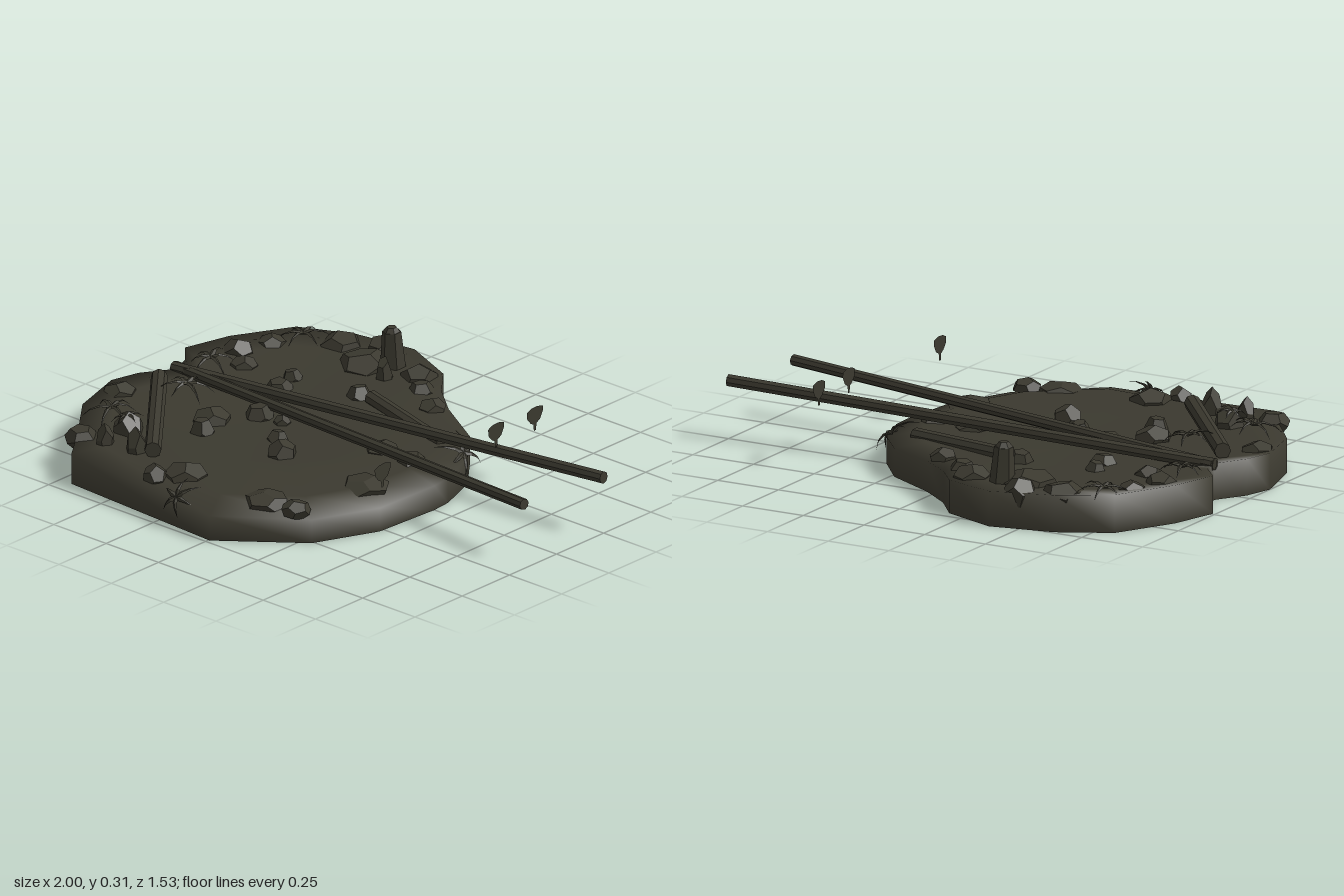
import * as THREE from 'three';

export function createModel() {
  const model = new THREE.Group();
  const earth = new THREE.MeshStandardMaterial({ color: 0x3b392f, side: THREE.DoubleSide });
  earth.name = 'dark earth';
  const stone = new THREE.MeshStandardMaterial({ color: 0x3b392f, flatShading: true, side: THREE.DoubleSide });
  stone.name = 'dark stone';

  let seed = 7;
  const rand = () => (seed = (seed * 16807) % 2147483647) / 2147483647;
  const add = (name, geometry, material, parent = model) => {
    const mesh = new THREE.Mesh(geometry, material);
    mesh.name = name;
    parent.add(mesh);
    return mesh;
  };

  // Ground: hollow mound, outline (x, z) drawn in rings towards the middle
  const outline = [
    [-0.39, -0.79], [-0.18, -0.71], [-0.09, -0.6], [0.03, -0.505], [0.235, -0.39], [0.35, -0.25],
    [0.41, -0.08], [0.417, 0], [0.4, 0.27], [0.29, 0.51], [0.005, 0.735], [-0.695, 0.69],
    [-0.8, 0.54], [-0.94, 0.36], [-1, 0.14], [-0.97, 0.03], [-0.9, -0.08], [-0.92, -0.16],
    [-0.99, -0.24], [-0.94, -0.42], [-0.82, -0.64], [-0.63, -0.74],
  ];
  const n = outline.length, cx = -0.35;
  const rimHeight = (x, z) => 0.115 - 0.03 * (x + 0.3) - 0.015 * z;
  const rings = [[1, 0], [1, 1], [0.84, 1.06], [0.45, 1.02], [0, 1]];
  const verts = [], faces = [];
  rings.forEach(([s, h], j) => outline.forEach(([x, z], i) => {
    verts.push(cx + (x - cx) * s, h * (s === 1 ? rimHeight(x, z) : 0.118), z * s);
    if (j === rings.length - 1) return;
    const a = j * n + i, b = j * n + (i + 1) % n;
    faces.push(a, a + n, b + n, a, b + n, b);
  }));
  const ground = new THREE.BufferGeometry();
  ground.setAttribute('position', new THREE.Float32BufferAttribute(verts, 3));
  ground.setIndex(faces);
  ground.computeVertexNormals();
  add('ground', ground, earth);

  // Rocks: x, z, radius, top height
  const rocks = [
    [-0.81, -0.5, 0.05, 0.16], [-0.62, -0.66, 0.075, 0.17], [-0.48, -0.72, 0.058, 0.18],
    [-0.44, -0.59, 0.1, 0.17], [-0.31, -0.54, 0.03, 0.21], [-0.225, -0.63, 0.065, 0.17],
    [-0.14, -0.55, 0.045, 0.16], [-0.01, -0.46, 0.05, 0.16], [-0.855, -0.375, 0.055, 0.17],
    [-0.755, -0.29, 0.048, 0.16], [-0.555, -0.325, 0.035, 0.16], [-0.53, -0.23, 0.047, 0.16],
    [-0.27, -0.365, 0.043, 0.17], [0.1, -0.07, 0.06, 0.15], [0.26, -0.055, 0.052, 0.16],
    [-0.52, 0.14, 0.067, 0.17], [-0.475, 0.24, 0.042, 0.18], [-0.42, 0, 0.05, 0.17],
    [-0.32, -0.01, 0.03, 0.15], [-0.235, 0.11, 0.036, 0.16], [-0.13, 0.2, 0.052, 0.18],
    [0.27, 0.2, 0.085, 0.15], [-0.925, 0.18, 0.06, 0.16], [-0.67, 0.415, 0.055, 0.2],
    [-0.77, 0.555, 0.055, 0.16], [-0.66, 0.55, 0.032, 0.2], [-0.53, 0.53, 0.037, 0.22],
    [-0.335, 0.645, 0.042, 0.17], [-0.26, 0.565, 0.075, 0.17], [0.095, 0.535, 0.075, 0.15],
    [0.225, 0.52, 0.05, 0.15],
  ];
  for (const [x, z, r, top] of rocks) {
    const g = new THREE.DodecahedronGeometry(1);
    g.rotateX(rand() * 3).rotateY(rand() * 6);
    g.scale(r * 1.1, top - 0.115, r * 1.1);
    add('rock', g, stone).position.set(x, 0.115, z);
  }
  // Standing stone
  const pillar = add('standingStone', new THREE.CylinderGeometry(0.035, 0.05, 0.17, 6), stone);
  pillar.position.set(-0.36, 0.17, -0.64);
  pillar.rotation.z = 0.05;
  const cap = add('standingStoneCap', new THREE.CylinderGeometry(0.018, 0.035, 0.022, 6), stone);
  cap.position.set(-0.364, 0.262, -0.64);

  // Logs: start, end, radius
  const up = new THREE.Vector3(0, 1, 0);
  const logs = [
    ['longPole', [-0.91, 0.135, -0.09], [1, 0.215, -0.25], 0.023],
    ['longPole', [-0.91, 0.135, -0.1], [0.945, 0.212, 0.11], 0.021],
    ['shortLog', [-0.21, 0.135, -0.36], [0.23, 0.12, -0.25], 0.028],
    ['shortLog', [-0.87, 0.15, 0.03], [-0.45, 0.15, 0.53], 0.03],
  ];
  for (const [name, from, to, r] of logs) {
    const a = new THREE.Vector3(...from), b = new THREE.Vector3(...to);
    const dir = b.clone().sub(a);
    const log = add(name, new THREE.CylinderGeometry(r, r, dir.length(), 8), stone);
    log.position.copy(a).add(b).multiplyScalar(0.5);
    log.quaternion.setFromUnitVectors(up, dir.normalize());
  }

  // Spiky plants: position, arm length, tilt about x and z
  const plants = [
    [-0.75, 0.15, -0.6, 0.09, 0, 0.1], [-0.85, 0.15, -0.22, 0.1, 0.1, 0], [-0.71, 0.18, 0.06, 0.1, 0, -0.1],
    [-0.8, 0.16, 0.36, 0.11, 0.1, 0.1], [-0.68, 0.18, 0.41, 0.06, 0, 0.2],
    [-0.17, 0.11, 0.715, 0.09, 0.9, 0], [0.33, 0.115, -0.25, 0.1, 0, -0.7],
  ];
  for (const [x, y, z, len, tiltX, tiltZ] of plants) {
    const plant = new THREE.Group();
    plant.name = 'spikyPlant';
    plant.position.set(x, y, z);
    plant.rotation.set(tiltX, 0, tiltZ);
    for (let i = 0; i < 6; i++) {
      const l = len * (0.8 + rand() * 0.4);
      const g = new THREE.ConeGeometry(0.013, l, 4, 3);
      g.scale(1, 1, 0.5).translate(0, l / 2, 0).rotateX(Math.PI / 2);
      const p = g.attributes.position;
      for (let k = 0; k < p.count; k++) {
        const t = p.getZ(k) / l;
        p.setY(k, p.getY(k) + len * (0.5 * t - 0.75 * t * t));
      }
      add('blade', g, stone, plant).rotation.y = (i + rand() * 0.4) * Math.PI / 3;
    }
    model.add(plant);
  }

  // Floating leaves: flat, facing sideways
  const leaf = new THREE.Shape();
  [[-0.005, -0.046], [0.006, -0.044], [0.009, -0.018], [0.028, -0.008], [0.043, 0.02], [0.042, 0.038],
    [0.012, 0.046], [-0.02, 0.044], [-0.042, 0.034], [-0.04, 0.008], [-0.022, -0.012], [-0.008, -0.02],
  ].forEach(([u, v], i) => (i ? leaf.lineTo(u, v) : leaf.moveTo(u, v)));
  for (const [x, z] of [[0.48, 0.345], [0.54, -0.19], [0.545, -0.39]]) {
    const m = add('leaf', new THREE.ShapeGeometry(leaf), earth);
    m.position.set(x, 0.264, z);
    m.rotation.y = Math.PI / 2;
  }
  return model;
}
